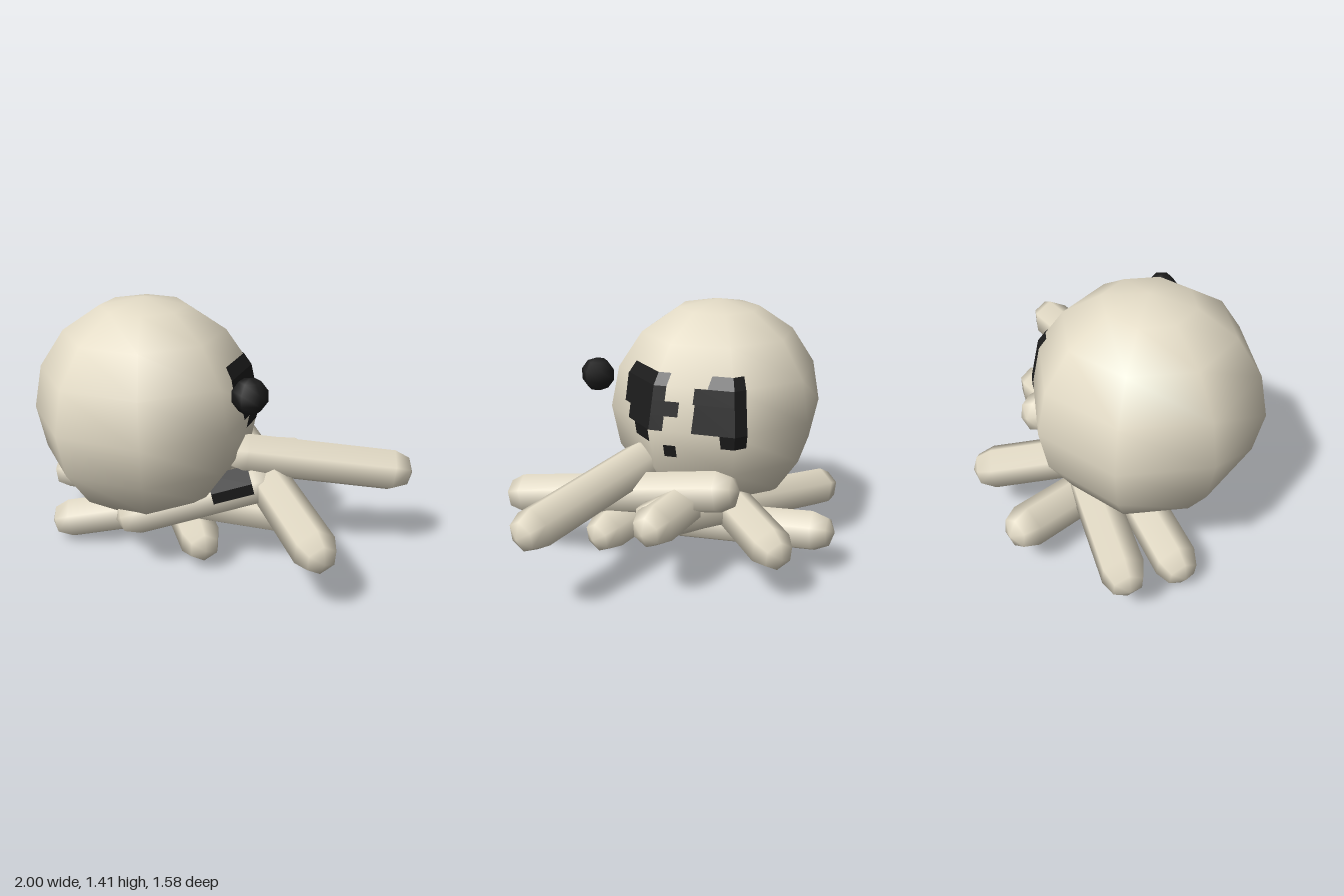
import * as THREE from 'three';

export function createModel() {
  const group = new THREE.Group();
  const cream = new THREE.MeshStandardMaterial({ color: 0xe4dcc7 });
  cream.name = 'cream';
  const black = new THREE.MeshStandardMaterial({ color: 0x1c1c1c, side: THREE.DoubleSide });
  black.name = 'black';

  const add = (name, geometry, material, parent = group) => {
    const mesh = new THREE.Mesh(geometry, material);
    mesh.name = name;
    parent.add(mesh);
    return mesh;
  };

  // Flat plates made of quads, each a list of four corners
  const plates = (quads) => {
    const geometry = new THREE.BufferGeometry().setFromPoints(
      quads.flatMap(([a, b, c, d]) => [a, b, c, a, c, d]));
    geometry.computeVertexNormals();
    return geometry;
  };

  // Low-poly round head
  const radius = 0.587;
  const head = add('head', new THREE.SphereGeometry(radius, 8, 8), cream);
  head.position.set(-0.405, 0.825, -0.008);

  // Loose round ball beside the face
  add('ball', new THREE.SphereGeometry(0.092, 6, 5), black).position.set(0.115, 1.03, 0.405);

  // Six-sided limb between two tips, with one ridge facing up (local -x)
  const limb = (name, from, to, r = 0.115) => {
    const a = new THREE.Vector3(...from), b = new THREE.Vector3(...to);
    const y = b.clone().sub(a), length = y.length();
    y.normalize();
    const z = y.clone().cross(new THREE.Vector3(0, 1, 0)).normalize();
    const x = y.clone().cross(z);
    const mesh = add(name, new THREE.CapsuleGeometry(r, length - 2 * r, 2, 6), cream);
    mesh.quaternion.setFromRotationMatrix(new THREE.Matrix4().makeBasis(x, y, z));
    mesh.position.copy(a).lerp(b, 0.5);
    return mesh;
  };
  limb('leftLimb', [0, 0.61, 0.11], [1, 0.48, 0.11]);
  limb('frontLeftLimb', [0.02, 0.55, -0.47], [0.455, 0.335, 0.79]);
  limb('backLeftLimb', [-0.2, 0.48, -0.17], [0.505, 0.415, -0.23]);
  limb('lowerLeftLimb', [-0.35, 0.37, 0.12], [0.45, 0.24, 0.16]);
  limb('crossLimb', [-1, 0.24, -0.44], [0.41, 0.425, -0.13]);
  limb('lowerRightLimb', [-0.97, 0.09, -0.1], [0.18, 0.3, -0.02]);
  limb('undersideLimb', [-0.1, 0.14, 0.34], [-0.42, 0.25, -0.79]);
  limb('backLimb', [0.075, 0.285, -0.77], [-0.44, 0.45, 0.25]);
  const front = limb('frontLimb', [-0.57, 0.28, 0.24], [0.27, 0.475, 0.17]);

  // Dark band over the upper front faces of the front limb
  const r = 0.119;
  const profile = [[-r, 0], [-r / 2, 0.866 * r], [0, 0.866 * r]];
  add('frontLimbBand', plates([0, 1].map((i) => {
    const corner = ([x, z], y) => new THREE.Vector3(x, y, z);
    const p = profile[i], q = profile[i + 1];
    return [corner(p, 0.085), corner(q, 0.085), corner(q, 0.3), corner(p, 0.3)];
  })), black, front);

  // Ring radius of the head at a height from its centre, and a point on its facets
  const ringRadius = (y) => {
    const step = Math.PI / 8;
    const i = Math.floor(Math.asin(Math.abs(y) / radius) / step);
    return THREE.MathUtils.mapLinear(Math.abs(y),
      radius * Math.sin(i * step), radius * Math.sin((i + 1) * step),
      radius * Math.cos(i * step), radius * Math.cos((i + 1) * step));
  };
  const onHead = (z, y) => {
    const ring = ringRadius(y), side = Math.abs(z), corner = ring * Math.SQRT1_2;
    const x = side <= corner
      ? ring - side * (Math.SQRT2 - 1)
      : corner - (side - corner) * (Math.SQRT2 + 1);
    return new THREE.Vector3(x, y, z).multiplyScalar(1.008);
  };

  // Face patches: [zMin, zMax, yMin, yMax] from the head centre, cut at facet edges
  const patch = (name, rects) => {
    const at = (z, y) => (typeof z === 'function' ? z(y) : z);
    add(name, plates(rects.map(([z0, z1, y0, y1]) => [
      onHead(at(z0, y0), y0), onHead(at(z0, y1), y1),
      onHead(at(z1, y1), y1), onHead(at(z1, y0), y0),
    ])), black, head);
  };
  const ringY = radius * Math.sin(Math.PI / 8);
  const slant = (y) => THREE.MathUtils.mapLinear(y, ringY, 0.285, 0.258, 0.23);
  patch('largeFacePatch', [
    [0, slant, ringY, 0.285], [-0.062, 0, ringY, 0.285],
    [0, 0.263, 0.075, ringY], [-0.062, 0, 0.15, ringY], [-0.132, 0, 0.075, 0.15],
    [0, 0.208, 0, 0.075], [-0.067, 0, 0, 0.075],
    [0.008, 0.143, -0.07, 0],
  ]);
  // The outer edge of this patch folds over a head ridge
  const ridge = (y) => -Math.SQRT1_2 * ringRadius(y);
  const rim = (y) => -0.755 * ringRadius(y);
  patch('smallFacePatch', [
    [ridge, -0.257, ringY, 0.285], [ridge, -0.197, 0.145, ringY],
    [ridge, -0.207, 0, 0.145], [ridge, -0.342, -0.07, 0],
    [rim, ridge, ringY, 0.285], [rim, ridge, 0, ringY], [rim, ridge, -0.07, 0],
  ]);
  patch('faceSpot', [[-0.122, -0.062, -0.145, -0.08]]);

  return group;
}
